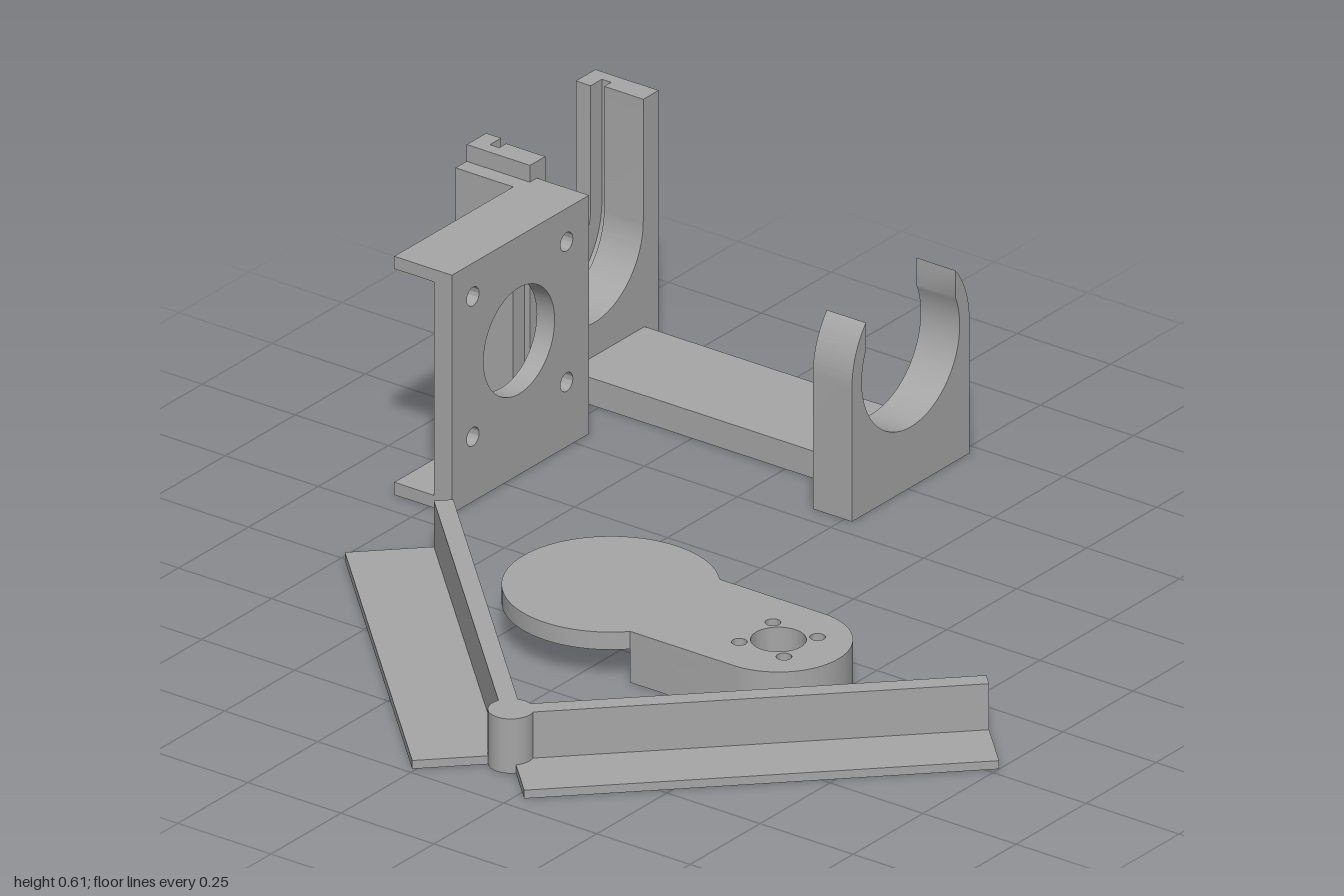
import * as THREE from 'three';
import { toCreasedNormals } from 'three/addons/utils/BufferGeometryUtils.js';

const grey = new THREE.MeshStandardMaterial({ color: 0xa6a6a6 });
grey.name = 'plain grey';

const BORE_Y = 0.32, BORE_Z = -0.76; // axis of the cradle

export function createModel() {
  const model = new THREE.Group();

  const add = (parent, name, geometry) => {
    const mesh = new THREE.Mesh(geometry, grey);
    mesh.name = name;
    parent.add(mesh);
    return mesh;
  };
  const group = (name) => {
    const g = new THREE.Group();
    g.name = name;
    model.add(g);
    return g;
  };
  // box given by its limits on each axis
  const box = (parent, name, [x0, x1], [y0, y1], [z0, z1]) =>
    add(parent, name, new THREE.BoxGeometry(x1 - x0, y1 - y0, z1 - z0)
      .translate((x0 + x1) / 2, (y0 + y1) / 2, (z0 + z1) / 2));
  const extrude = (shape, depth) =>
    new THREE.ExtrudeGeometry(shape, { depth, bevelEnabled: false, curveSegments: 32 });
  // shape drawn in (-z, y), pushed along x
  const alongX = (parent, name, shape, x0, x1) =>
    add(parent, name, toCreasedNormals(extrude(shape, x1 - x0).rotateY(Math.PI / 2).translate(x0, 0, 0), 0.5));
  // shape drawn in (x, -z), pushed along y
  const alongY = (parent, name, shape, y0, y1) =>
    add(parent, name, toCreasedNormals(extrude(shape, y1 - y0).rotateX(-Math.PI / 2).translate(0, y0, 0), 0.5));
  const hole = (shape, x, y, r) => shape.holes.push(new THREE.Path().absarc(x, y, r, 0, Math.PI * 2, true));
  const rect = (x0, x1, y0, y1) => new THREE.Shape([
    new THREE.Vector2(x0, y0), new THREE.Vector2(x1, y0), new THREE.Vector2(x1, y1), new THREE.Vector2(x0, y1)]);

  // ---- cradle: tall slotted bracket, base bar and open clip
  const cradle = group('cradle');
  const c = -BORE_Z;
  const slotted = (r) => {
    const s = new THREE.Shape();
    s.moveTo(c - 0.23, 0);
    s.lineTo(c + 0.23, 0);
    s.lineTo(c + 0.23, 0.61);
    s.lineTo(c + r, 0.61);
    s.absarc(c, BORE_Y, r, 0, Math.PI, true);
    s.lineTo(c - r, 0.61);
    s.lineTo(c - 0.23, 0.61);
    return s;
  };
  // the middle slice is cut wider to leave a groove
  alongX(cradle, 'bracketOuterWall', slotted(0.16), -1, -0.96);
  alongX(cradle, 'bracketGroove', slotted(0.2), -0.96, -0.935);
  alongX(cradle, 'bracketInnerWall', slotted(0.175), -0.935, -0.83);
  box(cradle, 'bracketSideRib', [-1, -0.845], [0, 0.57], [-0.53, -0.49]);

  // base bar in two layers so the screw holes are counterbored
  [[0, 0.03, 0.021], [0.03, 0.065, 0.036]].forEach(([y0, y1, r], i) => {
    const bar = rect(-0.83, -0.085, 0.67, 0.94);
    hole(bar, -0.275, 0.9, r);
    hole(bar, -0.165, 0.79, r);
    alongY(cradle, i ? 'baseBarUpper' : 'baseBarLower', bar, y0, y1);
  });

  // clip: round outside, pointed arm tips, narrowed mouth
  const R = 0.21, r = 0.175, mouth = 0.16;
  const a = Math.acos(mouth / R), b = Math.acos(mouth / r);
  const clip = new THREE.Shape();
  clip.moveTo(c - R, 0);
  clip.lineTo(c + R, 0);
  clip.absarc(c, BORE_Y, R, 0, a, false);
  clip.absarc(c, BORE_Y, r, b, Math.PI - b, true);
  clip.absarc(c, BORE_Y, R, Math.PI - a, Math.PI, false);
  alongX(cradle, 'clip', clip, -0.085, 0.02);

  // ---- mounting plate with top and bottom flanges
  const mount = group('mountingPlate');
  const face = rect(0.065, 0.555, 0, 0.57);
  hole(face, 0.305, 0.32, 0.127);
  for (const z of [0.14, 0.475]) for (const y of [0.155, 0.49]) hole(face, z, y, 0.022);
  alongX(mount, 'plateFace', face, -0.738, -0.69);
  box(mount, 'bottomFlange', [-0.845, -0.738], [0, 0.03], [-0.555, -0.065]);
  box(mount, 'topFlange', [-0.845, -0.738], [0.54, 0.57], [-0.555, -0.065]);

  // ---- arm: thin disc joined to a thick round-ended lever
  const arm = group('arm');
  const dx = -0.06, cz = -0.205, dr = 0.235, ex = 0.39, er = 0.16;
  const t = Math.asin(er / dr);
  const boltHoles = (s) => {
    hole(s, ex, cz, 0.06);
    for (const i of [-1, 1]) for (const j of [-1, 1]) hole(s, ex + i * 0.06, cz + j * 0.06, 0.017);
    return s;
  };
  const top = new THREE.Shape();
  top.absarc(dx, cz, dr, t, 2 * Math.PI - t, false);
  top.absarc(ex, cz, er, -Math.PI / 2, Math.PI / 2, false);
  alongY(arm, 'discAndLeverTop', boltHoles(top), 0.08, 0.122);
  const lever = new THREE.Shape();
  lever.absarc(ex, cz, er, -Math.PI / 2, Math.PI / 2, false);
  lever.absarc(dx, cz, dr, t, -t, true);
  alongY(arm, 'leverBody', boltHoles(lever), 0, 0.08);

  // ---- angled guide: two L-section rails meeting at a post
  const guide = group('angledGuide');
  const rail = (name, x, z, side, width) => {
    const g = new THREE.Group();
    g.name = name;
    box(g, 'railFoot', [0, 1.03], [0, 0.02], side > 0 ? [0, width] : [-width, 0]);
    box(g, 'railWall', [0, 1], [0.02, 0.13], side > 0 ? [0, 0.042] : [-0.042, 0]);
    g.position.set(x, 0, z);
    g.rotation.y = side > 0 ? -Math.PI / 4 : -Math.PI * 3 / 4;
    guide.add(g);
  };
  rail('rightRail', -0.57, 0.09, 1, 0.235);
  rail('leftRail', 0.862, 0.09, -1, 0.195);
  add(guide, 'cornerPost', new THREE.CylinderGeometry(0.05, 0.05, 0.13, 32).translate(0.145, 0.065, 0.835));

  return model;
}
